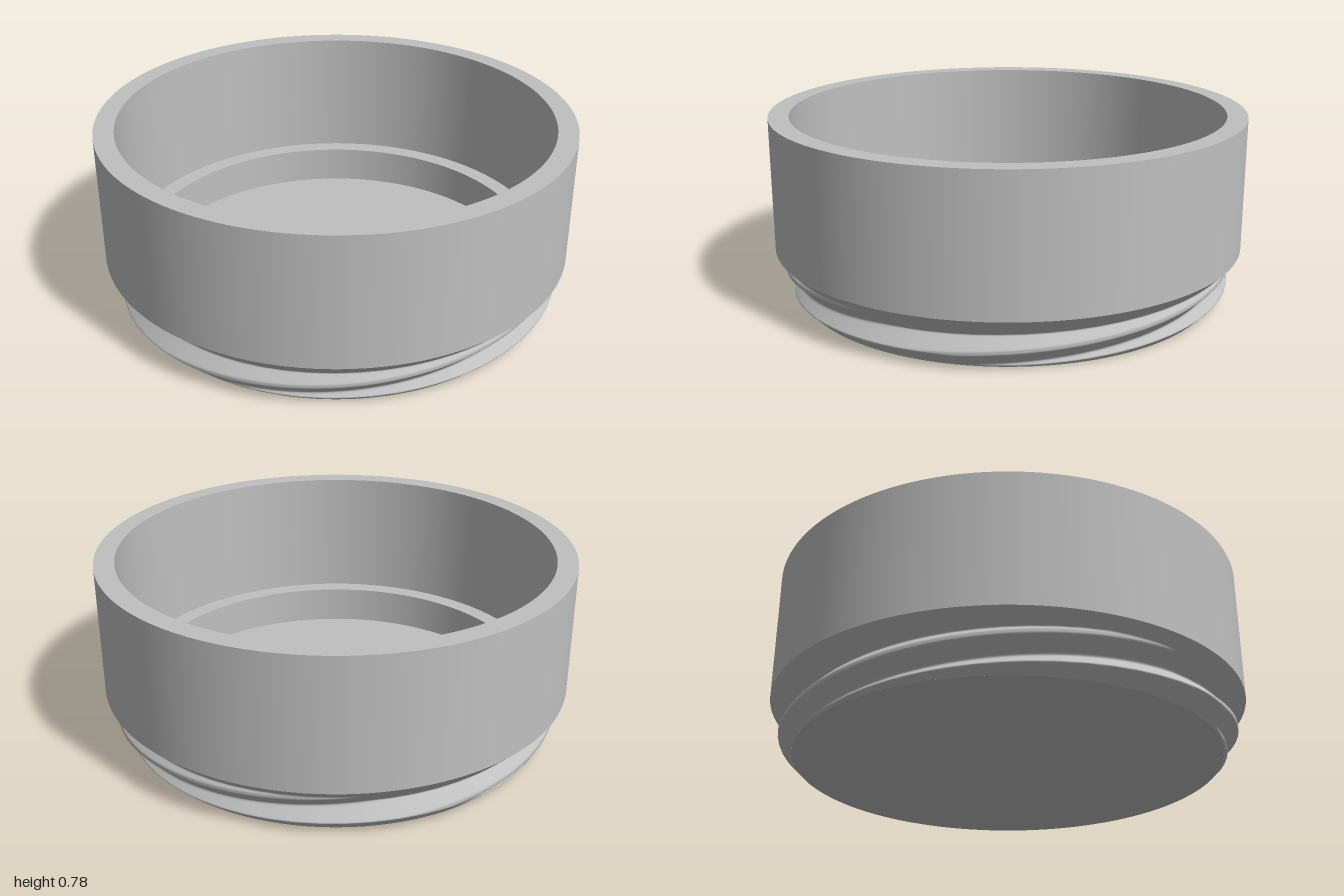
import * as THREE from 'three';

const SEGMENTS = 192;

// Surface of revolution between consecutive profile points, each with its own crisp edges
function addRings(group, material, rings) {
  for (const [name, from, to] of rings) {
    const points = [new THREE.Vector2(...from), new THREE.Vector2(...to)];
    const mesh = new THREE.Mesh(new THREE.LatheGeometry(points, SEGMENTS), material);
    mesh.name = name;
    group.add(mesh);
  }
}

// Three-start screw thread, trimmed by a bevel below and the shoulder chamfer above
const PITCH = 0.138, STARTS = 3, THREAD_TOP = 0.22;

function threadRadius(angle, y) {
  const crest = 0.063 + PITCH * STARTS * angle / (2 * Math.PI);
  const turns = (y - crest) / PITCH;
  const distance = Math.abs(turns - Math.round(turns)) * PITCH;
  const thread = THREE.MathUtils.clamp(0.966 - 0.98 * distance, 0.902, 0.958);
  const bevel = 0.895 + y;
  const shoulder = 0.78 + y;
  return Math.max(shoulder, Math.min(thread, bevel));
}

function threadGeometry() {
  const columns = 288, rows = 66;
  const positions = [], indices = [];
  for (let j = 0; j <= rows; j++) {
    const y = THREAD_TOP * j / rows;
    for (let i = 0; i < columns; i++) {
      const angle = 2 * Math.PI * i / columns;
      const r = threadRadius(angle, y);
      positions.push(r * Math.sin(angle), y, r * Math.cos(angle));
    }
  }
  for (let j = 0; j < rows; j++) {
    for (let i = 0; i < columns; i++) {
      const next = (i + 1) % columns;
      const a = j * columns + i, b = j * columns + next;
      const c = b + columns, d = a + columns;
      indices.push(a, b, d, b, c, d);
    }
  }
  const geometry = new THREE.BufferGeometry();
  geometry.setAttribute('position', new THREE.Float32BufferAttribute(positions, 3));
  geometry.setIndex(indices);
  geometry.computeVertexNormals();
  return geometry;
}

export function createModel() {
  const model = new THREE.Group();
  model.name = 'threadedCup';
  const grey = new THREE.MeshStandardMaterial({ color: 0xc0c0c0 });
  grey.name = 'plain grey';

  // Threaded base
  const thread = new THREE.Mesh(threadGeometry(), grey);
  thread.name = 'screwThread';
  model.add(thread);

  // Underside, wall, rim and stepped interior
  addRings(model, grey, [
    ['underside', [0, 0], [0.895, 0]],
    ['outerWall', [1, 0.22], [1, 0.778]],
    ['rim', [1, 0.778], [0.915, 0.778]],
    ['innerWall', [0.915, 0.778], [0.915, 0.22]],
    ['innerLedge', [0.915, 0.22], [0.838, 0.22]],
    ['recessWall', [0.838, 0.22], [0.838, 0.055]],
    ['floor', [0.838, 0.055], [0, 0.055]],
  ]);
  return model;
}
